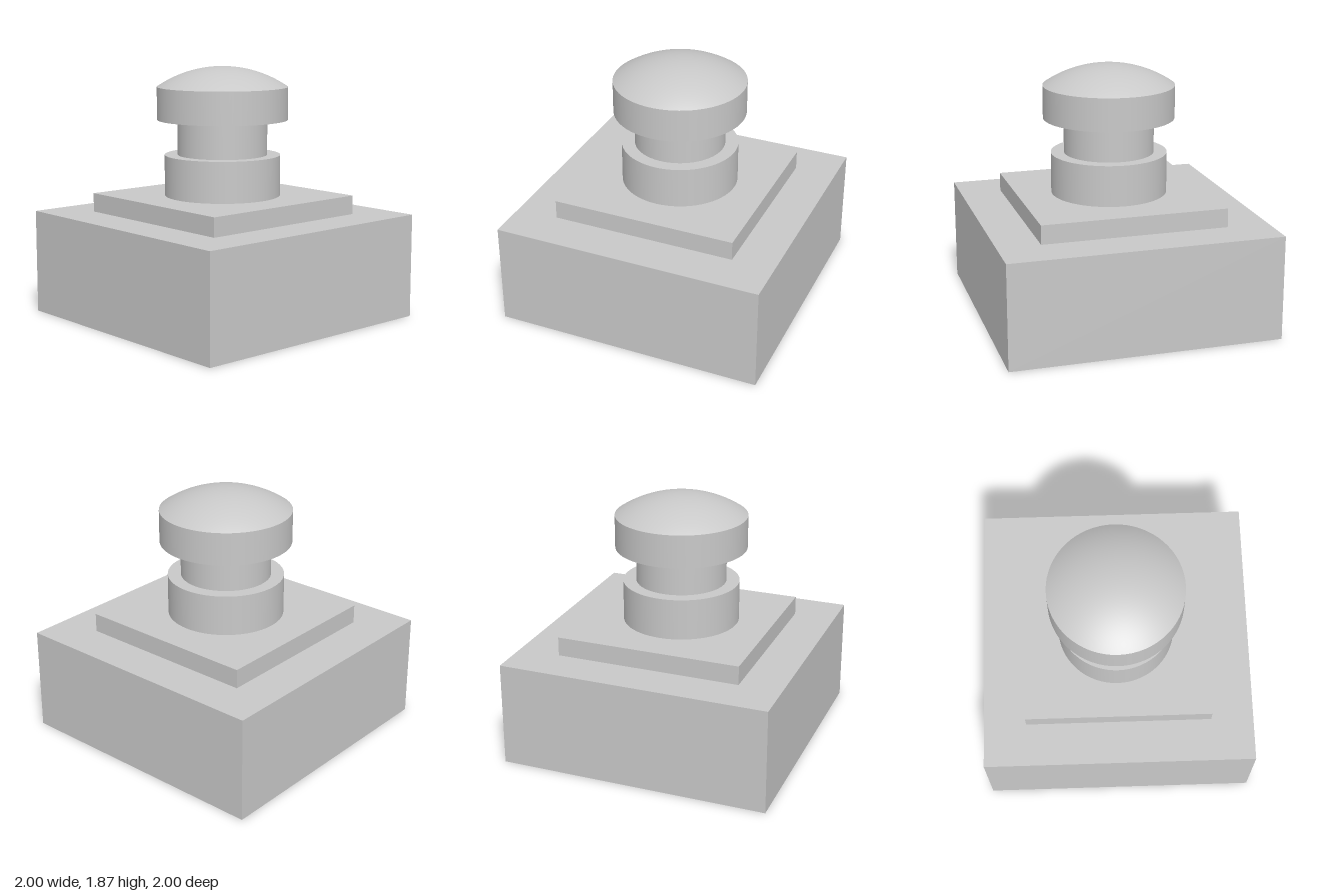
import * as THREE from 'three';

export function createModel() {
  const model = new THREE.Group();
  const grey = new THREE.MeshStandardMaterial({ color: 0xc8c8c8 });
  grey.name = 'light grey';
  const SIDES = 64;

  const add = (name, geometry, y) => {
    const mesh = new THREE.Mesh(geometry, grey);
    mesh.name = name;
    mesh.position.y = y;
    model.add(mesh);
  };
  const block = (name, width, y0, y1) =>
    add(name, new THREE.BoxGeometry(width, y1 - y0, width), (y0 + y1) / 2);
  const drum = (name, radius, y0, y1) =>
    add(name, new THREE.CylinderGeometry(radius, radius, y1 - y0, SIDES), (y0 + y1) / 2);

  // Square pedestal
  block('base', 2, 0, 0.775);
  block('plinth', 1.374, 0.775, 0.915);

  // Round stem and cap
  drum('collar', 0.43, 0.915, 1.218);
  drum('neck', 0.333, 1.218, 1.479);
  drum('cap', 0.485, 1.479, 1.722);

  // Shallow dome: a spherical cap over the cap's rim
  const rim = 0.485, rise = 0.15;
  const radius = (rim * rim + rise * rise) / (2 * rise);
  const dome = new THREE.SphereGeometry(radius, SIDES, 16, 0, Math.PI * 2, 0, Math.asin(rim / radius));
  add('dome', dome, 1.722 + rise - radius);

  return model;
}
